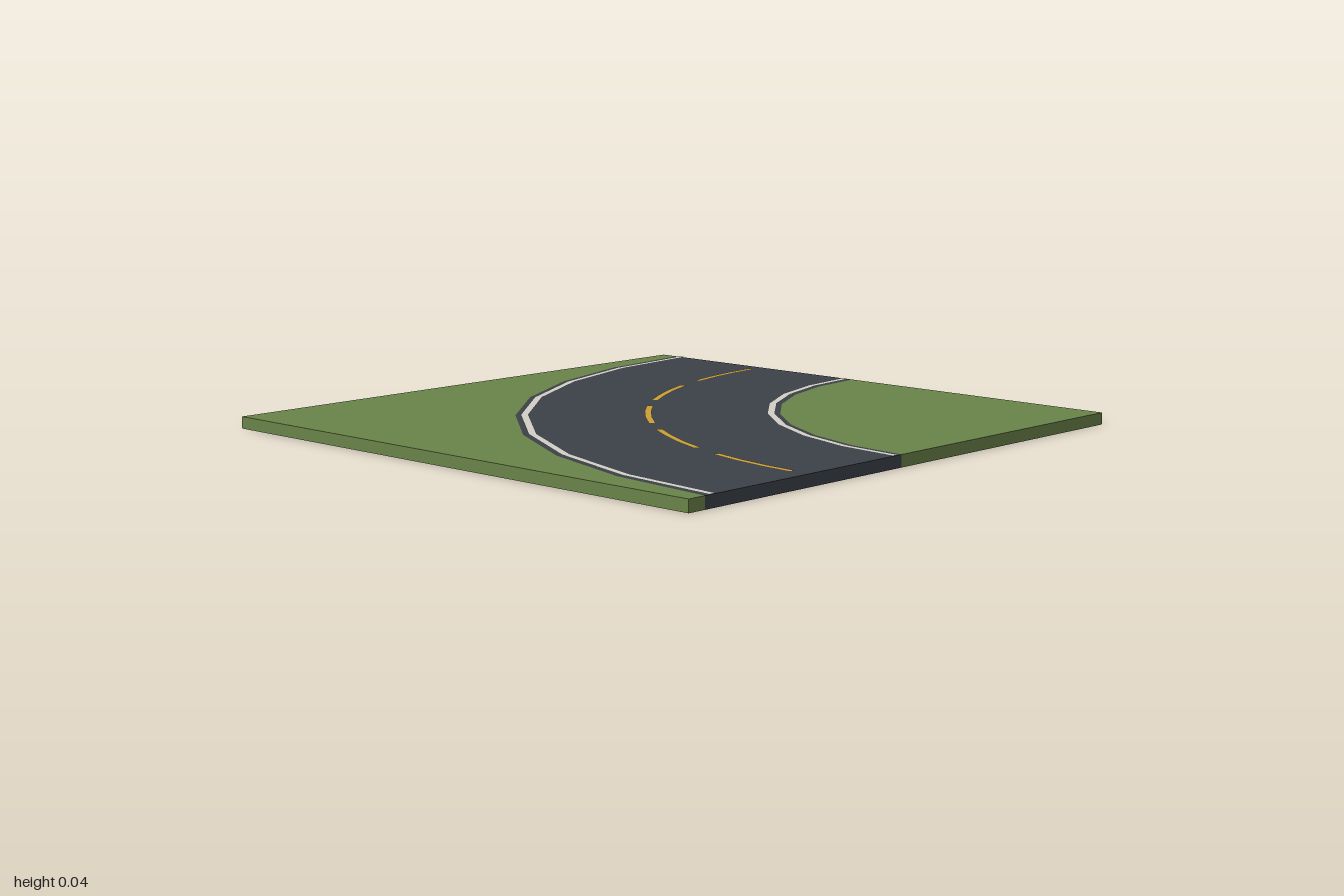
import * as THREE from 'three';

const TOP = 0.04;            // height of the tile surface
const INNER = 1.065;         // road edges, measured from the bend centre at (1, -1)
const OUTER = 1.935;
const STEPS = 8;
const QUARTER = Math.PI / 2;

const mat = (name, color, side = THREE.DoubleSide) => {
  const m = new THREE.MeshStandardMaterial({ color, side });
  m.name = name;
  return m;
};

// Points on a quarter arc, relative to the bend centre (x, z)
const arc = (r) => Array.from({ length: STEPS + 1 }, (_, i) => {
  const a = (i / STEPS) * QUARTER;
  return [-r * Math.cos(a), r * Math.sin(a)];
});

// Vertical strip from the ground to the surface along a path, facing right of travel
function wall(path) {
  const v = [];
  for (let i = 0; i < path.length - 1; i++) {
    const [ax, az] = path[i], [bx, bz] = path[i + 1];
    v.push(ax, 0, az, bx, 0, bz, bx, TOP, bz, ax, 0, az, bx, TOP, bz, ax, TOP, az);
  }
  const g = new THREE.BufferGeometry();
  g.setAttribute('position', new THREE.Float32BufferAttribute(v, 3));
  g.computeVertexNormals();
  return g;
}

// Flat ring section lying on the surface
const ring = (r0, r1, steps, start = 0, length = QUARTER, y = TOP) =>
  new THREE.RingGeometry(r0, r1, steps, 1, Math.PI + start, length)
    .rotateX(-Math.PI / 2).translate(0, y, 0);

export function createModel() {
  const grass = mat('grass green', 0x6a8349);
  const asphalt = mat('asphalt grey', 0x3c4148);
  const white = mat('line white', 0xd2d0c8, THREE.FrontSide);
  const yellow = mat('dash yellow', 0xcca038, THREE.FrontSide);

  const model = new THREE.Group();
  model.name = 'roadBendTile';
  const bend = new THREE.Group();
  bend.name = 'bend';
  bend.position.set(1, 0, -1);
  model.add(bend);
  const add = (name, geometry, material) => {
    const mesh = new THREE.Mesh(geometry, material);
    mesh.name = name;
    bend.add(mesh);
  };

  // Lawn inside the bend
  add('innerLawn', new THREE.CircleGeometry(INNER, STEPS, Math.PI, QUARTER)
    .rotateX(-Math.PI / 2).translate(0, TOP, 0), grass);
  add('innerLawnSides', wall([[0, INNER], [0, 0], [-INNER, 0]]), grass);
  add('innerBank', wall(arc(1)), grass);

  // Lawn outside the bend
  const outline = [[-2, 0], [-2, 2], [0, 2], ...arc(OUTER).reverse()];
  const shape = new THREE.Shape(outline.map(([x, z]) => new THREE.Vector2(x, -z)));
  add('outerLawn', new THREE.ShapeGeometry(shape)
    .rotateX(-Math.PI / 2).translate(0, TOP, 0), grass);
  add('outerLawnSides', wall([[-OUTER, 0], [-2, 0], [-2, 2], [0, 2], [0, OUTER]]), grass);
  add('outerBank', wall(arc(2).reverse()), grass);

  // Road surface and its two cut ends
  add('road', ring(INNER, OUTER, STEPS), asphalt);
  add('roadEndRight', wall([[0, OUTER], [0, INNER]]), asphalt);
  add('roadEndBack', wall([[-INNER, 0], [-OUTER, 0]]), asphalt);

  // Edge lines
  const paintY = TOP + 0.002;
  for (const [name, r] of [['innerEdgeLine', 1.095], ['outerEdgeLine', 1.905]]) {
    add(name, ring(r - 0.0125, r + 0.0125, STEPS, 0, QUARTER, paintY), white);
  }

  // Centre dashes
  const slot = QUARTER / 5;
  for (let i = 0; i < 5; i++) {
    add(`centreDash${i + 1}`,
      ring(1.489, 1.511, 2, (i + 0.125) * slot, slot * 0.75, paintY), yellow);
  }
  return model;
}
